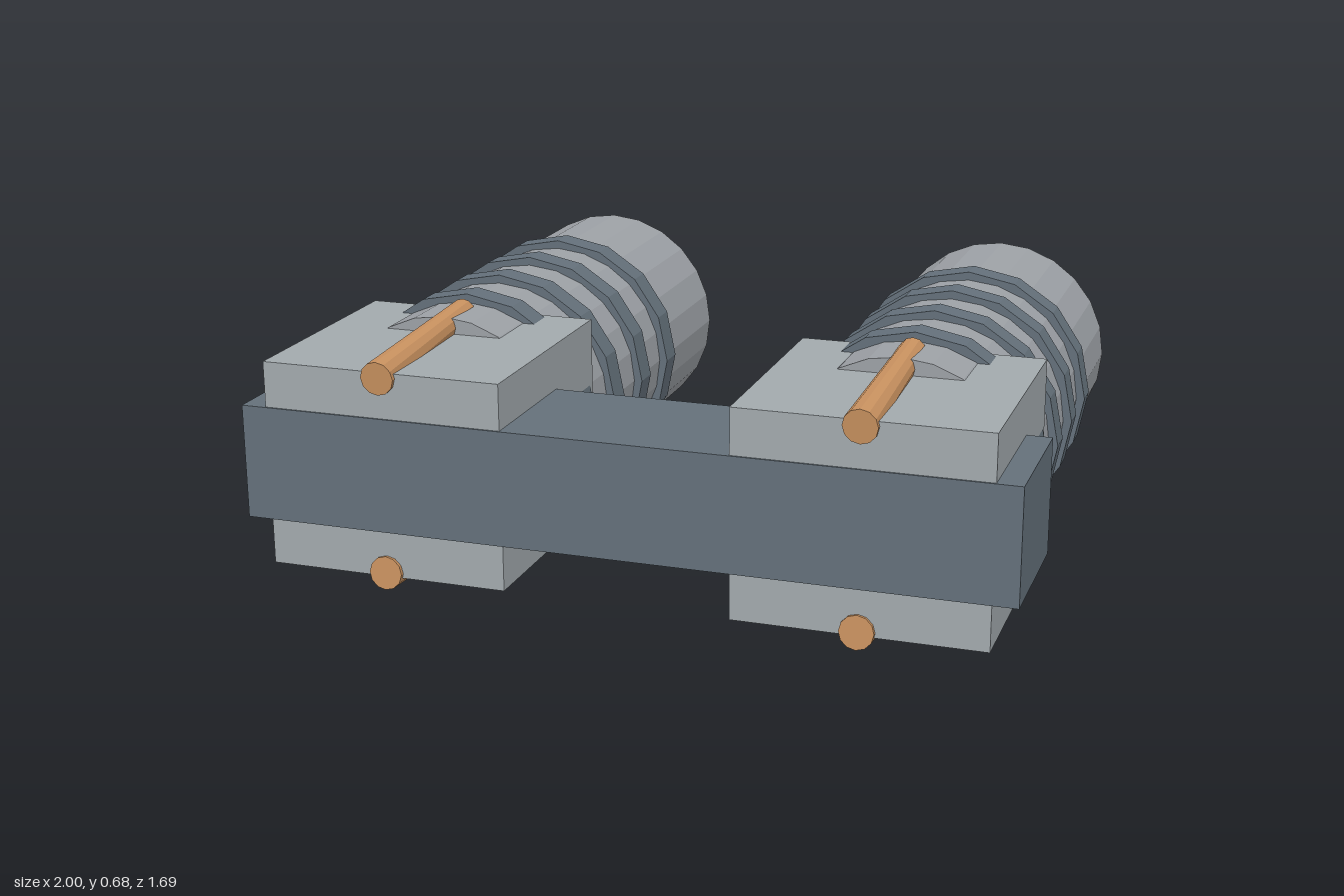
import * as THREE from 'three';

const AXIS_X = 0.615, AXIS_Y = 0.34;

function mat(name, color) {
  const m = new THREE.MeshStandardMaterial({ color, flatShading: true });
  m.name = name;
  return m;
}

function add(parent, name, geometry, material, x = 0, y = 0, z = 0) {
  const mesh = new THREE.Mesh(geometry, material);
  mesh.name = name;
  mesh.position.set(x, y, z);
  parent.add(mesh);
  return mesh;
}

// Revolves [radius, z] points around the z axis
function turned(points, sides) {
  return new THREE.LatheGeometry(points.map(([r, z]) => new THREE.Vector2(r, z)), sides).rotateX(Math.PI / 2);
}

// Closed ring with a rectangular section
function ring(inner, outer, z0, z1, sides) {
  return turned([[inner, z0], [outer, z0], [outer, z1], [inner, z1], [inner, z0]], sides);
}

export function createModel() {
  const model = new THREE.Group();
  model.name = 'twinBarrelUnit';
  const housingGrey = mat('housing grey', 0xa2a9ad);
  const barrelGrey = mat('barrel grey', 0x9da1a6);
  const darkSteel = mat('dark steel', 0x64707a);
  const copper = mat('copper', 0xc8915f);
  const cyan = mat('cyan glow', 0x4dbccb);

  // Bar joining the two housings
  add(model, 'crossbar', new THREE.BoxGeometry(2, 0.3, 0.375), darkSteel, 0, AXIS_Y, 0.647);

  for (const side of [1, -1]) {
    const unit = new THREE.Group();
    unit.name = side > 0 ? 'leftUnit' : 'rightUnit';
    unit.position.set(side * AXIS_X, AXIS_Y, 0);
    model.add(unit);

    add(unit, 'housing', new THREE.BoxGeometry(0.64, 0.54, 0.63), housingGrey, 0, 0, 0.515);

    // Barrel with an open bore at the back
    add(unit, 'barrel', turned([
      [0, -0.3], [0.2, -0.3], [0.2, -0.83], [0.315, -0.83], [0.315, 0.45], [0, 0.45],
    ], 24), barrelGrey);

    // Cooling rings along the barrel
    for (let i = 0; i < 4; i++) {
      const z = 0.257 - i * 0.2175;
      add(unit, 'coolingRing', ring(0.29, 0.338, z - 0.0375, z + 0.0375, 16), darkSteel);
    }

    // Muzzle collar and the glowing ring inside it
    add(unit, 'muzzleCollar', ring(0.188, 0.242, -0.845, -0.74, 24), darkSteel);
    add(unit, 'glowRing', ring(0.163, 0.202, -0.765, -0.725, 24), cyan);

    // Tapered copper rods above and below
    for (const up of [1, -1]) {
      const front = new THREE.Vector3(0, up * 0.257, 0.842);
      const back = new THREE.Vector3(0, up * 0.297, 0.317);
      const dir = front.clone().sub(back);
      const rod = add(unit, up > 0 ? 'upperRod' : 'lowerRod',
        new THREE.CylinderGeometry(0.044, 0.034, dir.length(), 12), copper);
      rod.position.copy(front).add(back).multiplyScalar(0.5);
      rod.quaternion.setFromUnitVectors(new THREE.Vector3(0, 1, 0), dir.normalize());
    }
  }
  return model;
}
